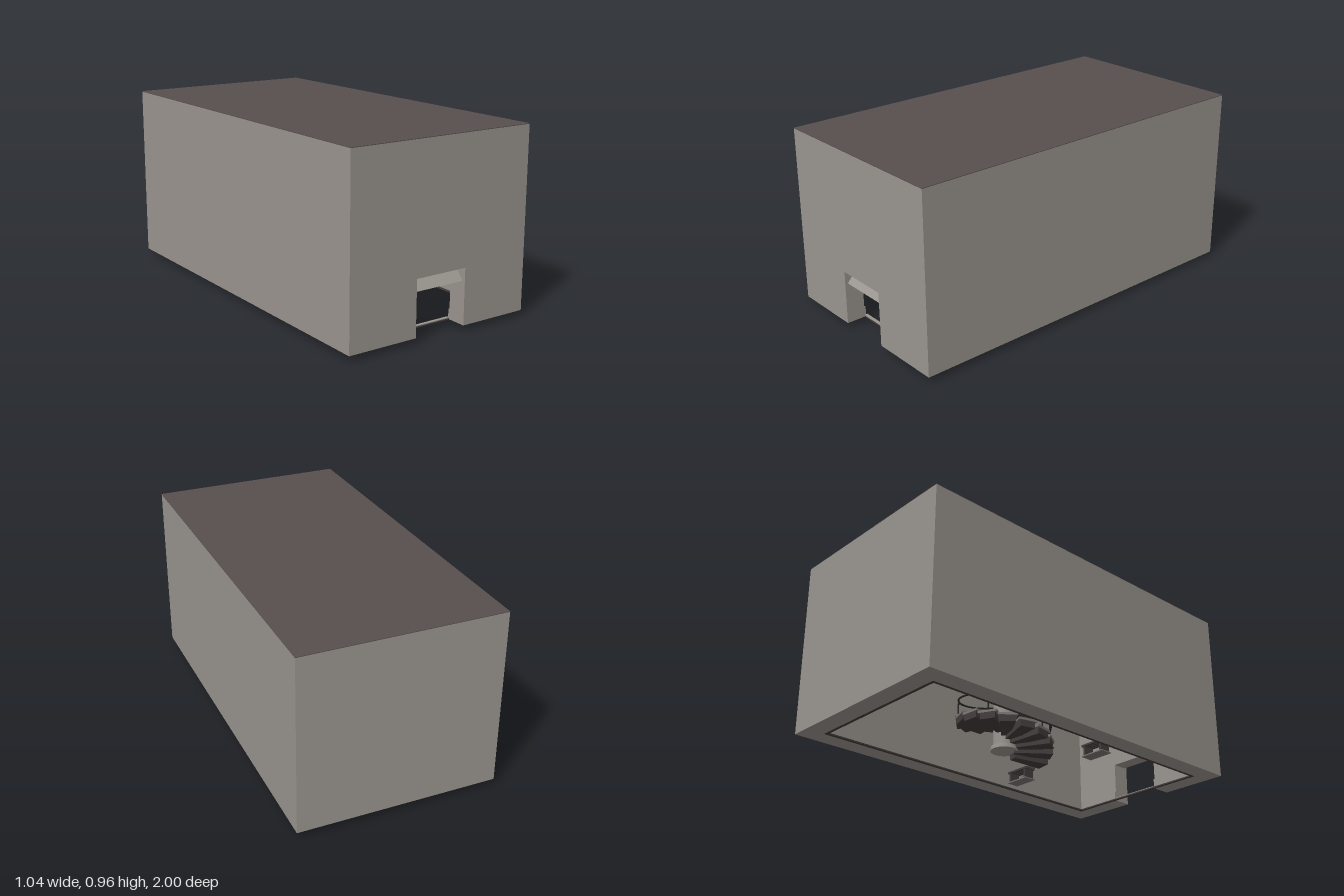
import * as THREE from 'three';

const flat = (color, name, side = THREE.FrontSide) => {
  const m = new THREE.MeshStandardMaterial({ color, side });
  m.name = name;
  return m;
};

export function createModel() {
  const wall = flat(0x9a958f, 'wall stone');
  const roofMat = flat(0x584e4e, 'roof brown');
  const dark = flat(0x453e3e, 'dark timber');
  const treadMat = flat(0x7d7975, 'tread grey');
  const metal = flat(0x2c2929, 'rail metal');
  const root = new THREE.Group();

  const add = (parent, name, geo, mat, x = 0, y = 0, z = 0) => {
    const m = new THREE.Mesh(geo, mat);
    m.name = name;
    m.position.set(x, y, z);
    parent.add(m);
    return m;
  };
  const box = (parent, name, mat, w, h, d, x, y, z) =>
    add(parent, name, new THREE.BoxGeometry(w, h, d), mat, x, y, z);

  // Hall shell: thick walls, open underneath
  const X = 0.522, B = 0.03, T = 0.957, t = 0.1, H = T - B, midY = (T + B) / 2;
  for (const s of [-1, 1]) box(root, 'sideWall', wall, t, H, 2 - 2 * t, s * (X - t / 2), midY, 0);
  box(root, 'backWall', wall, 2 * X, H, t, 0, midY, -1 + t / 2);

  // Front wall with a doorway reaching the ground
  const front = new THREE.Shape([
    [-X, B], [-0.145, B], [-0.145, 0.315], [0.145, 0.315], [0.145, B], [X, B], [X, T], [-X, T],
  ].map(p => new THREE.Vector2(...p)));
  add(root, 'frontWall', new THREE.ExtrudeGeometry(front, { depth: t, bevelEnabled: false }), wall, 0, 0, 1 - t);

  // Sloped lintel within the doorway
  const lintel = new THREE.Shape([[-0.9, 0.247], [-0.9, 0.315], [-0.925, 0.315], [-0.985, 0.247]]
    .map(p => new THREE.Vector2(...p)));
  const lintelMesh = add(root, 'doorLintel',
    new THREE.ExtrudeGeometry(lintel, { depth: 0.29, bevelEnabled: false }), wall, -0.145, 0, 0);
  lintelMesh.rotation.y = Math.PI / 2;

  // Ceiling and roof sheet
  box(root, 'ceiling', wall, 2 * (X - t), 0.06, 2 - 2 * t, 0, T - 0.03, 0);
  box(root, 'roof', roofMat, 2 * X, 0.003, 2, 0, T + 0.0015, 0);

  // Narrow floor edging and skirting around the inside
  const ix = X - t, iz = 1 - t;
  for (const s of [-1, 1]) {
    box(root, 'floorEdge', dark, 0.016, 0.007, 2 * iz, s * (ix - 0.008), B + 0.0035, 0);
    box(root, 'floorEdge', dark, 2 * ix - 0.032, 0.007, 0.016, 0, B + 0.0035, s * (iz - 0.008));
    box(root, 'skirting', wall, 0.008, 0.045, 2 * iz, s * (ix - 0.004), B + 0.03, 0);
    box(root, 'frontSkirting', wall, ix - 0.153, 0.045, 0.008, s * (0.145 + ix - 0.008) / 2, B + 0.03, iz - 0.004);
  }
  box(root, 'backSkirting', wall, 2 * ix - 0.016, 0.045, 0.008, 0, B + 0.03, -iz + 0.004);
  box(root, 'threshold', wall, 0.29, 0.004, 0.016, 0, B + 0.009, iz - 0.008);

  // Spiral staircase around a column
  const stair = new THREE.Group();
  stair.name = 'spiralStaircase';
  stair.position.z = -0.1;
  root.add(stair);
  add(stair, 'column', new THREE.CylinderGeometry(0.057, 0.057, T - 0.09, 32), wall, 0, (T - 0.06 + B) / 2, 0);
  add(stair, 'columnBase', new THREE.CylinderGeometry(0.068, 0.07, 0.022, 32), wall, 0, B + 0.011, 0);

  const wedge = (r0, r1, w0, w1, h) => {
    const s = new THREE.Shape([[-w0, r0], [w0, r0], [w1, r1], [-w1, r1]].map(p => new THREE.Vector2(...p)));
    return new THREE.ExtrudeGeometry(s, { depth: h, bevelEnabled: false }).rotateX(Math.PI / 2);
  };
  const blockGeo = wedge(0.05, 0.245, 0.02, 0.04, 0.033);
  const treadGeo = wedge(0.05, 0.25, 0.024, 0.05, 0.012);
  const STEP = THREE.MathUtils.degToRad(24), START = THREE.MathUtils.degToRad(8), RISE = 0.019, N = 38;
  for (let i = 0; i < N; i++) {
    const step = new THREE.Group();
    step.name = 'step';
    step.rotation.y = -(START + i * STEP);
    step.position.y = i * RISE;
    add(step, 'stepBlock', blockGeo, dark, 0, 0.033, 0);
    add(step, 'stepTread', treadGeo, treadMat, 0, 0.045, 0);
    if (i % 3 === 0) {
      add(step, 'railPost', new THREE.CylinderGeometry(0.004, 0.004, 0.095, 8), metal, 0, 0.09, 0.238);
    }
    stair.add(step);
  }

  // Helical handrail
  const points = [];
  for (let i = 0; i < N; i += 0.5) {
    const a = START + i * STEP;
    points.push(new THREE.Vector3(-Math.sin(a) * 0.238, 0.137 + i * RISE, Math.cos(a) * 0.238));
  }
  add(stair, 'handrail', new THREE.TubeGeometry(new THREE.CatmullRomCurve3(points), 300, 0.005, 6), metal);
  add(stair, 'tallPost', new THREE.CylinderGeometry(0.004, 0.004, 0.28, 8), metal, -0.137, 0.2, 0.19);

  // Pair of benches either side of the hall
  for (const s of [-1, 1]) {
    const bench = new THREE.Group();
    bench.name = 'bench';
    bench.position.set(s * 0.28, B, 0.28);
    root.add(bench);
    box(bench, 'benchBase', treadMat, 0.14, 0.006, 0.07, 0, 0.003, 0);
    for (let i = 0; i < 4; i++) box(bench, 'seatSlat', dark, 0.14, 0.01, 0.014, 0, 0.06, -0.027 + i * 0.018);
    for (const e of [-1, 1]) box(bench, 'benchLeg', dark, 0.012, 0.05, 0.06, e * 0.055, 0.031, 0);
    box(bench, 'benchBack', dark, 0.14, 0.03, 0.008, 0, 0.08, 0.034);
  }
  return root;
}
